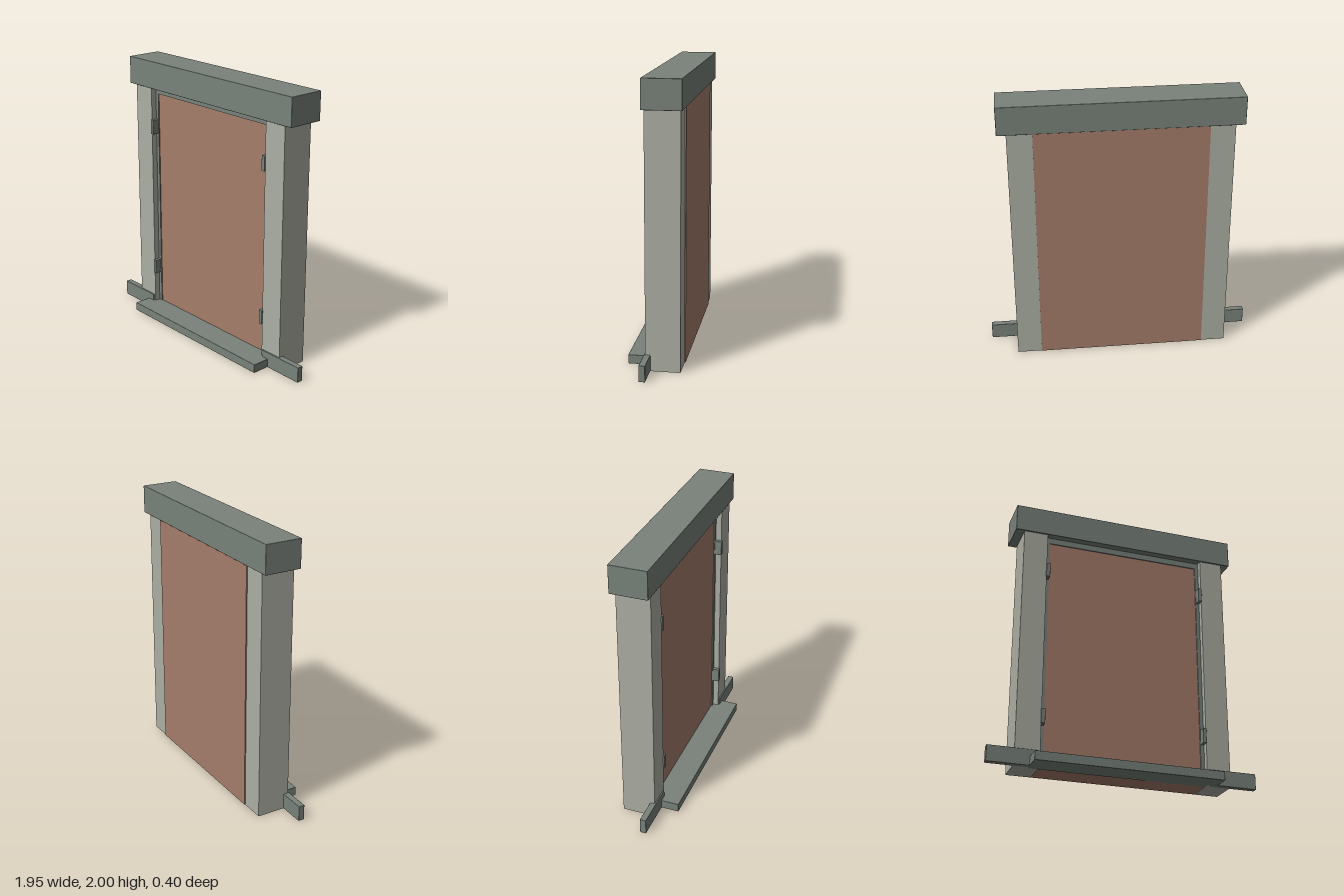
import * as THREE from 'three';
import { RoundedBoxGeometry } from 'three/addons/geometries/RoundedBoxGeometry.js';

const material = (name, color) => {
  const m = new THREE.MeshStandardMaterial({ color });
  m.name = name;
  return m;
};

export function createModel() {
  const trim = material('grey green trim', 0x79827b);
  const stone = material('pale stone', 0xacafa3);
  const clay = material('clay brown panel', 0xa67d6b);

  const model = new THREE.Group();
  model.name = 'doorway';

  // Box given by its limits on each axis, with an optional softened edge
  const box = (name, mat, [x0, x1], [y0, y1], [z0, z1], bevel = 0) => {
    const size = [x1 - x0, y1 - y0, z1 - z0];
    const geometry = bevel
      ? new RoundedBoxGeometry(...size, 1, bevel)
      : new THREE.BoxGeometry(...size);
    const mesh = new THREE.Mesh(geometry, mat);
    mesh.name = name;
    mesh.position.set((x0 + x1) / 2, (y0 + y1) / 2, (z0 + z1) / 2);
    model.add(mesh);
  };

  // Lintel, door panel and front step
  box('lintel', trim, [-0.85, 0.85], [1.795, 2], [-0.2, 0.07], 0.004);
  box('doorPanel', clay, [-0.608, 0.608], [0.003, 1.795], [-0.19, 0.01]);
  box('threshold', trim, [-0.68, 0.68], [0, 0.065], [0.005, 0.2], 0.003);
  box('frameHead', trim, [-0.61, 0.61], [1.75, 1.795], [0, 0.018]);

  for (const side of [-1, 1]) {
    const prefix = side > 0 ? 'left' : 'right';
    const span = (a, b) => (side > 0 ? [a, b] : [-b, -a]);

    // Post, thin inner frame and base block
    box(prefix + 'Post', stone, span(0.608, 0.785), [0, 1.8], [-0.182, 0.06]);
    box(prefix + 'Frame', trim, span(0.58, 0.61), [0.03, 1.795], [0, 0.018]);
    box(prefix + 'BaseBlock', trim, span(0.622, 0.977), [0, 0.115], [0.025, 0.07], 0.003);

    // Two hinges on each jamb
    for (const y of [0.365, 1.5]) {
      box(prefix + 'Hinge', trim, span(0.583, 0.612), [y - 0.055, y + 0.055], [0.015, 0.07], 0.003);
    }
  }
  return model;
}
